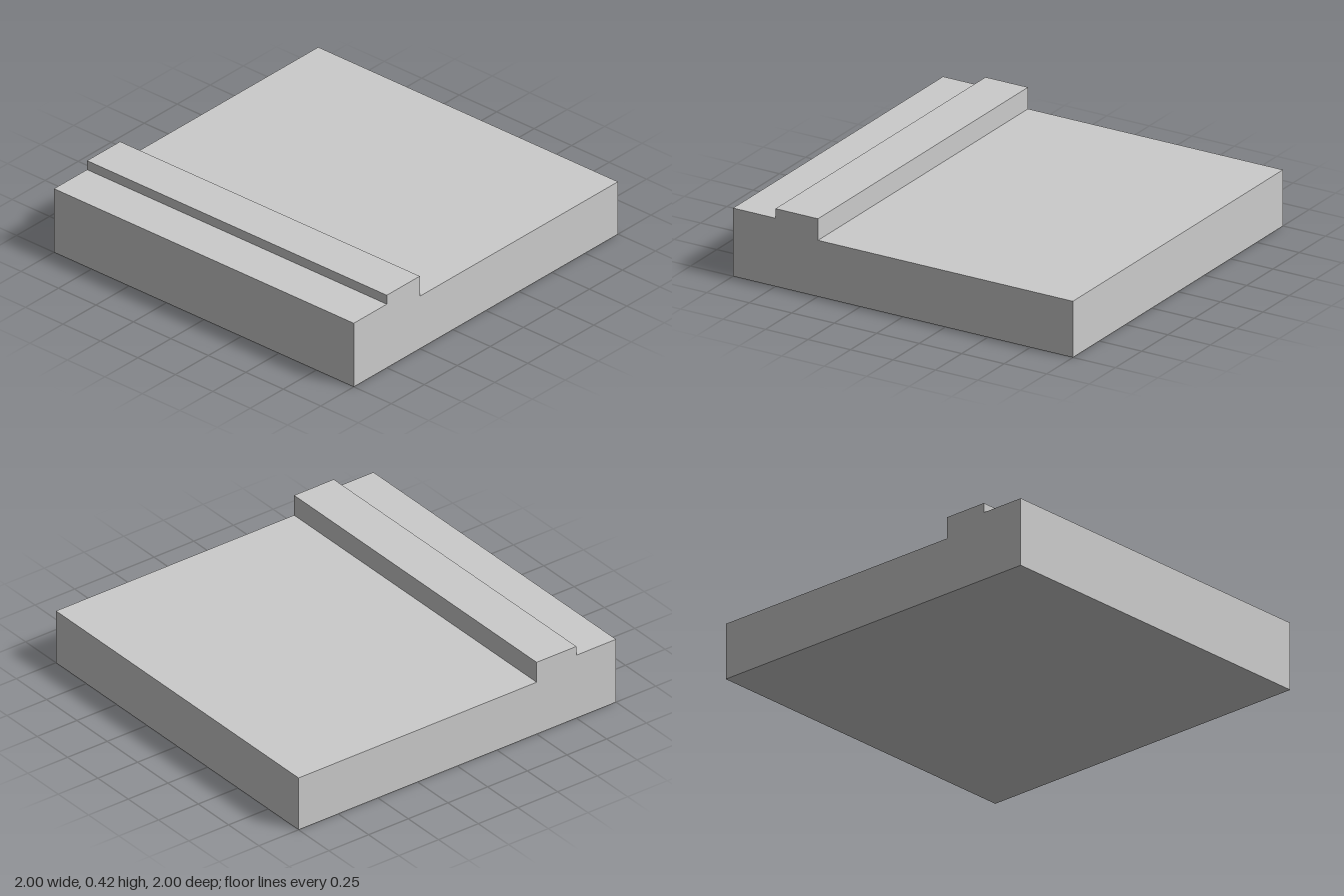
import * as THREE from 'three';

export function createModel() {
  const group = new THREE.Group();
  group.name = 'roadTile';

  // Stepped cross-section: sidewalk strip, raised curb, lower road bed
  const profile = new THREE.Shape([
    [-1, 0], [1, 0], [1, 0.305], [-0.5, 0.305],
    [-0.5, 0.422], [-0.75, 0.422], [-0.75, 0.37], [-1, 0.37],
  ].map(([x, y]) => new THREE.Vector2(x, y)));

  // Extruded along the full depth of the tile
  const geometry = new THREE.ExtrudeGeometry(profile, { depth: 2, bevelEnabled: false });
  geometry.translate(0, 0, -1);

  const material = new THREE.MeshStandardMaterial({ color: 0xcccccc, flatShading: true });
  const slab = new THREE.Mesh(geometry, material);
  slab.name = 'slabWithCurb';
  group.add(slab);
  return group;
}
